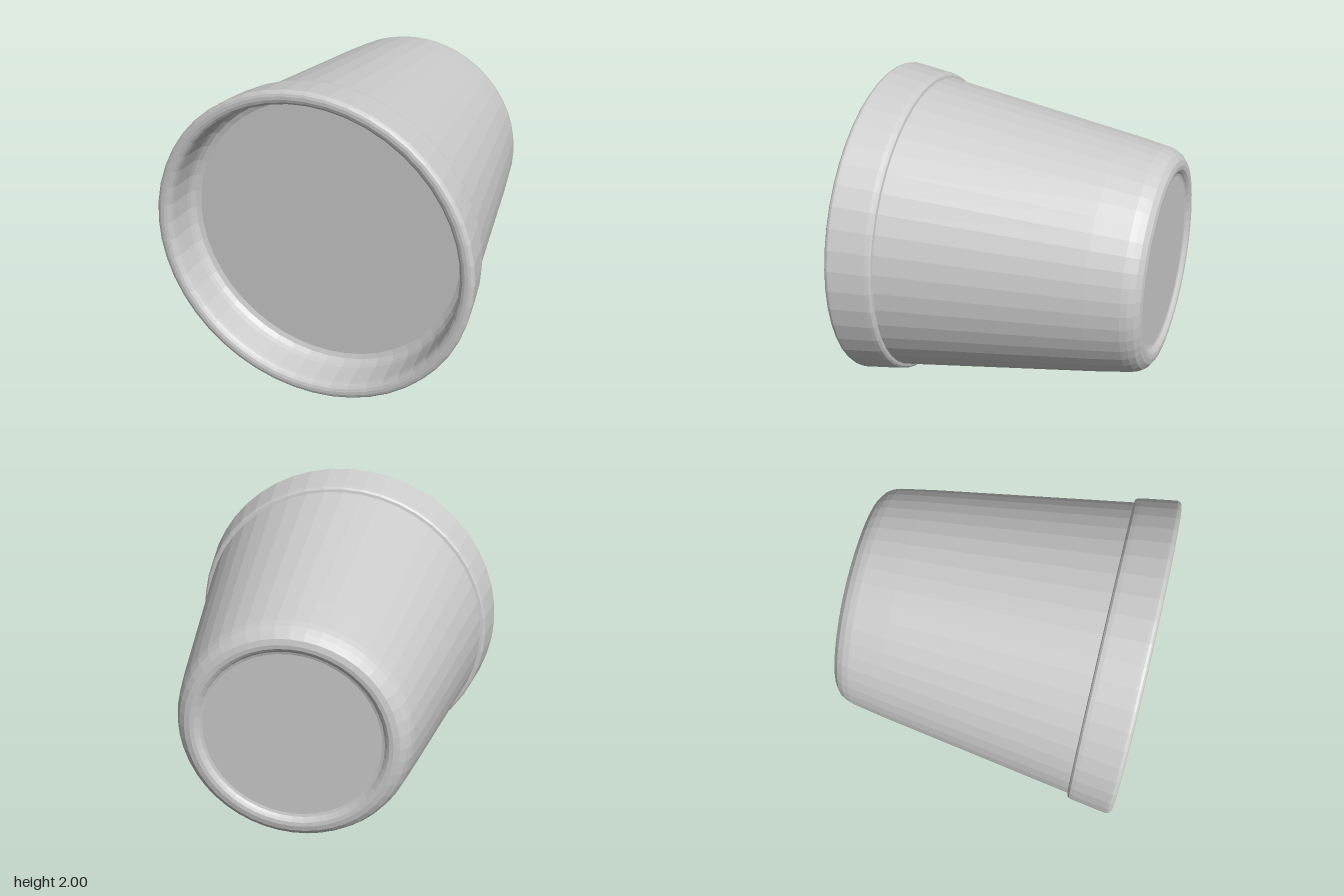
import * as THREE from 'three';

const SEGMENTS = 48;

// Revolve a [radius, z] profile about the z axis through y = 1.
function revolve(name, profile, material) {
  const points = profile.map(([r, z]) => new THREE.Vector2(r, z));
  const geometry = new THREE.LatheGeometry(points, SEGMENTS);
  geometry.rotateX(Math.PI / 2);
  const mesh = new THREE.Mesh(geometry, material);
  mesh.name = name;
  mesh.position.y = 1;
  return mesh;
}

export function createModel() {
  const clay = new THREE.MeshStandardMaterial({ color: 0xcccccc, flatShading: true });
  clay.name = 'plain grey clay';

  const pot = new THREE.Group();
  pot.name = 'flowerPot';

  // Recessed base disc with its small rounded foot ring
  pot.add(revolve('base', [
    [0, -0.89], [0.53, -0.89], [0.547, -0.895], [0.56, -0.907], [0.575, -0.917], [0.6, -0.92],
  ], clay));

  // Tapered wall with a rounded bottom corner
  pot.add(revolve('wall', [
    [0.6, -0.92], [0.635, -0.912], [0.67, -0.885], [0.69, -0.85], [0.703, -0.81],
    [0.74, -0.6], [0.932, 0.63],
  ], clay));

  // Collar around the mouth, folding over into a steep inner wall
  pot.add(revolve('rim', [
    [0.932, 0.63], [0.95, 0.634], [0.961, 0.645], [0.967, 0.67],
    [0.998, 0.875], [1, 0.892], [0.995, 0.906], [0.985, 0.915], [0.97, 0.92],
    [0.95, 0.92], [0.932, 0.914], [0.919, 0.903], [0.911, 0.885], [0.907, 0.86],
    [0.898, 0.73], [0.89, 0.7], [0.87, 0.672], [0.84, 0.66],
  ], clay));

  // Flat filling inside the mouth
  pot.add(revolve('filling', [[0.84, 0.66], [0, 0.66]], clay));

  return pot;
}
